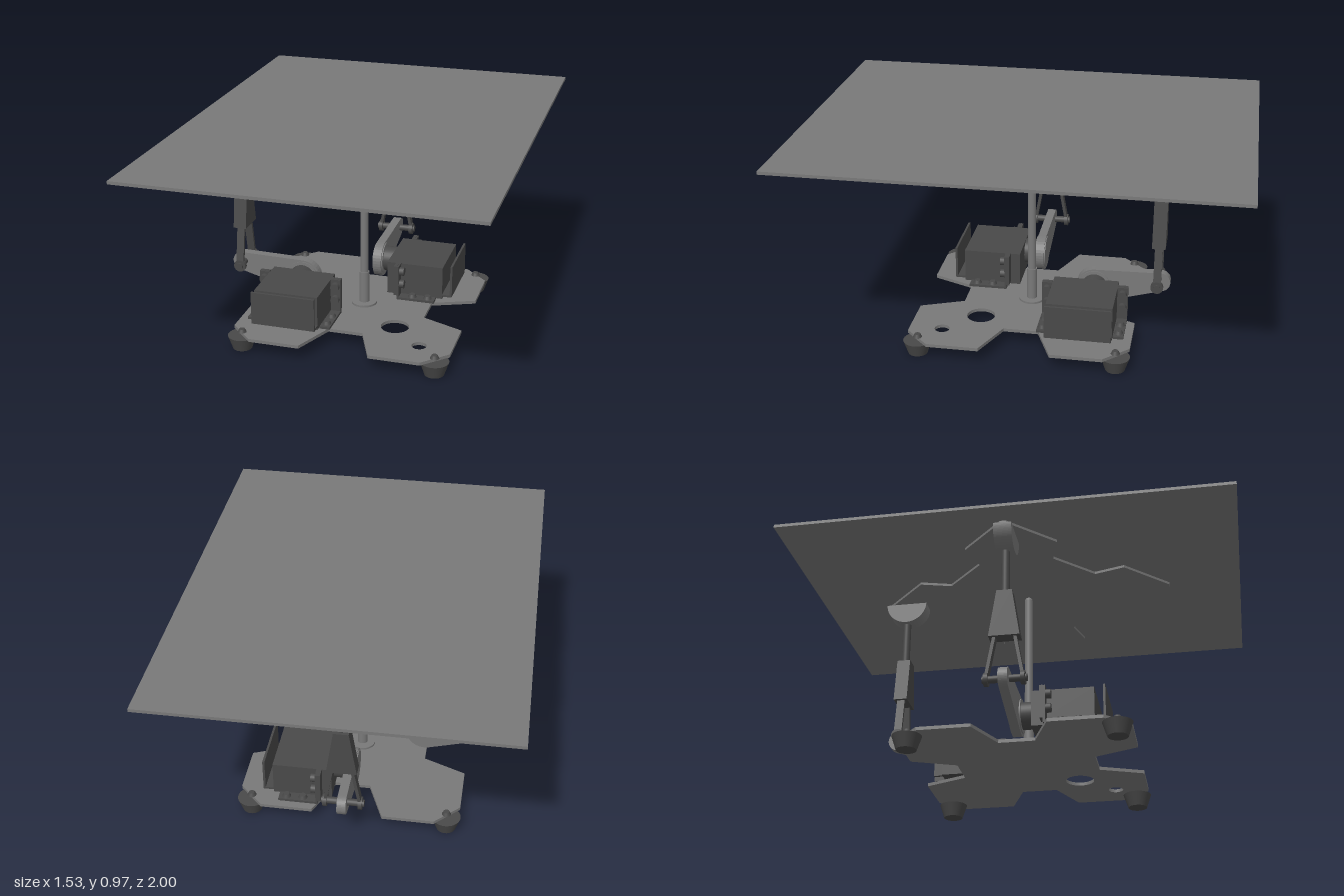
import * as THREE from 'three';

const plateGrey = new THREE.MeshStandardMaterial({ color: 0x797979 });
const darkGrey = new THREE.MeshStandardMaterial({ color: 0x494949 });

function add(parent, name, mat, geo, x = 0, y = 0, z = 0) {
  const mesh = new THREE.Mesh(geo, mat);
  mesh.name = name;
  mesh.position.set(x, y, z);
  parent.add(mesh);
  return mesh;
}
const box = (w, h, d) => new THREE.BoxGeometry(w, h, d);
const cyl = (rTop, rBottom, h, n = 32) => new THREE.CylinderGeometry(rTop, rBottom, h, n);
const cylZ = (r, h, n = 32) => cyl(r, r, h, n).rotateX(Math.PI / 2);

// Extrusion centred on z = 0
function slab(shape, depth) {
  return new THREE.ExtrudeGeometry(shape, { depth, bevelEnabled: false, curveSegments: 24 })
    .translate(0, 0, -depth / 2);
}

// Square plate with clipped corners and a tapered notch in every side
function notchedShape(half, clip, notchOuter, notchInner, depth, turn = 0) {
  const side = [[half, -half + clip], [half, -notchOuter], [depth, -notchInner],
    [depth, notchInner], [half, notchOuter], [half, half - clip]];
  const points = [];
  for (let i = 0; i < 4; i++) {
    const a = turn + i * Math.PI / 2;
    for (const [x, y] of side) points.push(new THREE.Vector2(
      x * Math.cos(a) - y * Math.sin(a), x * Math.sin(a) + y * Math.cos(a)));
  }
  return new THREE.Shape(points);
}

function addBase(model) {
  const base = new THREE.Group();
  base.name = 'base';
  const shape = notchedShape(0.505, 0.11, 0.16, 0.08, 0.31);
  for (const [c, r] of [[0.205, 0.065], [0.355, 0.034]]) {
    // shape y becomes -z once the plate lies flat
    shape.holes.push(new THREE.Path().absarc(c, -c, r, 0, Math.PI * 2, true));
  }
  add(base, 'basePlate', plateGrey, slab(shape, 0.015).rotateX(-Math.PI / 2), 0, 0.07, 0);
  for (const x of [-0.447, 0.447]) for (const z of [-0.447, 0.447]) {
    add(base, 'foot', darkGrey, cyl(0.065, 0.044, 0.063), x, 0.0315, z);
    add(base, 'footScrew', darkGrey, cyl(0.013, 0.021, 0.016, 16), x, 0.085, z);
  }
  model.add(base);
}

function addPole(model) {
  const pole = new THREE.Group();
  pole.name = 'centrePole';
  add(pole, 'poleFlange', plateGrey, cyl(0.06, 0.06, 0.01), 0, 0.082, 0);
  add(pole, 'poleSleeve', plateGrey, cyl(0.024, 0.024, 0.16, 24), 0, 0.16, 0);
  add(pole, 'poleRod', plateGrey, cyl(0.019, 0.019, 0.83, 24), 0, 0.495, 0);
  add(pole, 'poleBall', plateGrey, new THREE.SphereGeometry(0.019, 24, 16), 0, 0.91, 0);
  model.add(pole);
}

// Servo with arm and push rod; s = -1 builds the opposite-handed one
function actuator(name, s) {
  const g = new THREE.Group();
  g.name = name;
  const hornX = -0.3 * s, rodX = -0.594 * s, midX = -0.27 * s;

  // Servo body, open gap and end plate
  add(g, 'servoBody', darkGrey, box(0.3, 0.16, 0.27), midX, 0.165, 0.215);
  add(g, 'servoEndPlate', darkGrey, box(0.3, 0.155, 0.01), midX, 0.177, 0.392);
  add(g, 'servoEndStrip', darkGrey, box(0.3, 0.01, 0.05), midX, 0.102, 0.37);

  // Mounting ears and L brackets
  for (const e of [-1, 1]) {
    const x = midX + e * 0.174;
    add(g, 'servoEar', darkGrey, box(0.048, 0.15, 0.014), x, 0.173, 0.131);
    add(g, 'bracketUpright', darkGrey, box(0.048, 0.17, 0.01), x, 0.162, 0.143);
    add(g, 'bracketFoot', darkGrey, box(0.048, 0.012, 0.18), x, 0.083, 0.23);
    for (const y of [0.15, 0.215]) {
      add(g, 'earScrew', darkGrey, cylZ(0.02, 0.024, 16), x, y, 0.158);
    }
    for (const z of [0.21, 0.285]) {
      add(g, 'footBolt', darkGrey, cyl(0.014, 0.021, 0.016, 16), x, 0.096, z);
    }
  }

  // Horn and tapered arm: two circles joined by their common tangents
  add(g, 'servoHorn', darkGrey, cylZ(0.06, 0.06), hornX, 0.183, 0.05);
  add(g, 'hornCap', plateGrey, cylZ(0.075, 0.05), hornX, 0.183, 0);
  const dx = 0.294, dy = -0.045, R = 0.085, r = 0.046;
  const base = Math.atan2(dy, dx);
  const t = Math.acos((r - R) / Math.hypot(dx, dy));
  const outline = [];
  const arc = (cx, cy, rad, from, to) => {
    for (let i = 0; i <= 20; i++) {
      const a = from + (to - from) * i / 20;
      outline.push(new THREE.Vector2(s * (cx + rad * Math.cos(a)), cy + rad * Math.sin(a)));
    }
  };
  arc(-0.606, 0.225, r, base + t, base + 2 * Math.PI - t);
  arc(-0.3, 0.18, R, base - t, base + t);
  add(g, 'servoArm', plateGrey, slab(new THREE.Shape(outline), 0.04));

  // Fork: pin, two splayed legs with eyes, tapered body
  add(g, 'forkPin', darkGrey, cylZ(0.016, 0.19, 20), rodX, 0.228, 0);
  for (const e of [-1, 1]) {
    add(g, 'forkEye', darkGrey, cylZ(0.029, 0.018, 24), rodX, 0.228, e * 0.078);
    const leg = add(g, 'forkLeg', darkGrey, box(0.036, 0.225, 0.014), rodX, 0.332, e * 0.06);
    leg.rotation.x = -e * Math.atan2(0.036, 0.2);
  }
  const body = box(0.062, 0.215, 0.134);
  const p = body.attributes.position;
  for (let i = 0; i < p.count; i++) if (p.getY(i) > 0) p.setZ(i, p.getZ(i) * 0.5);
  body.computeVertexNormals();
  add(g, 'forkBody', darkGrey, body, rodX, 0.523, 0);
  add(g, 'pushRod', darkGrey, cyl(0.019, 0.019, 0.26, 24), rodX, 0.74, 0);

  // Half-round mount under the platform
  const dome = new THREE.Shape().absarc(0, 0, 0.096, Math.PI, 2 * Math.PI, false);
  dome.closePath();
  add(g, 'halfRoundMount', plateGrey, slab(dome, 0.08), -0.59 * s, 0.928, 0);
  return g;
}

export function createModel() {
  const model = new THREE.Group();
  model.name = 'tiltingPlatform';
  addBase(model);
  addPole(model);

  model.add(actuator('rightActuator', 1));
  const back = actuator('backActuator', -1);
  back.rotation.y = Math.PI / 2;
  model.add(back);

  // Notched carrier under the platform, turned an eighth so its corners meet the rods
  const carrier = notchedShape(0.485, 0.02, 0.19, 0.12, 0.36, Math.PI / 4);
  add(model, 'carrierPlate', plateGrey, slab(carrier, 0.012).rotateX(-Math.PI / 2), 0, 0.938, 0);
  add(model, 'platform', plateGrey, box(1.53, 0.014, 2), 0, 0.964, 0);
  return model;
}
